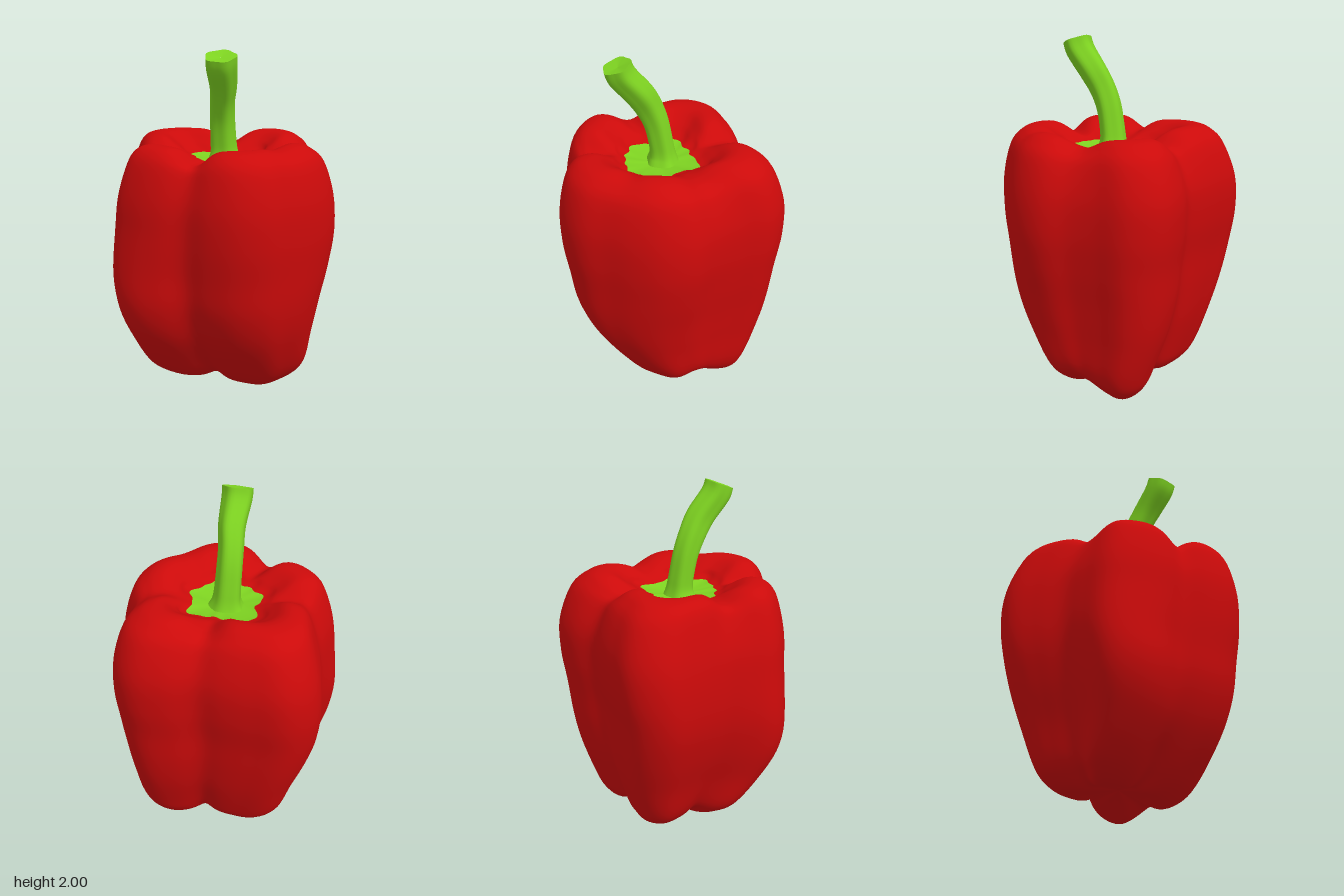
import * as THREE from 'three';

const N = 120; // points around the body
const STEP = 5; // rings per profile row

// Catmull-Rom value through a list of numbers at position t (in list steps)
function spline(list, t, closed) {
  const n = list.length, i = Math.floor(t), f = t - i;
  const at = (k) => list[closed ? ((k % n) + n) % n : Math.min(Math.max(k, 0), n - 1)];
  const a = at(i - 1), b = at(i), c = at(i + 1), d = at(i + 2);
  return b + 0.5 * f * (c - a + f * (2 * a - 5 * b + 4 * c - d + f * (3 * (b - c) + d - a)));
}

// Skin closed rings, listed from the top down
function loft(rings) {
  const n = rings[0].length, index = [];
  for (let i = 0; i < rings.length - 1; i++) {
    for (let j = 0; j < n; j++) {
      const a = i * n + j, b = i * n + (j + 1) % n;
      index.push(a, b, a + n, b, b + n, a + n);
    }
  }
  const geo = new THREE.BufferGeometry();
  geo.setAttribute('position', new THREE.Float32BufferAttribute(rings.flat(2), 3));
  geo.setIndex(index);
  geo.computeVertexNormals();
  return geo;
}

// Lobed outline: radius every 15 degrees, from +x towards +z
const outline = [0.635, 0.645, 0.63, 0.62, 0.65, 0.64, 0.59, 0.54, 0.58, 0.62, 0.64, 0.585,
  0.56, 0.62, 0.72, 0.725, 0.63, 0.57, 0.545, 0.63, 0.705, 0.695, 0.61, 0.59];

// Bell curve over an angle difference in degrees
const bell = (deg, at, width) => Math.exp(-(((((deg - at + 900) % 360) - 180) / width) ** 2));

// Grooves between lobes: angle, strength, width, turn towards the bottom
const grooves = [[104, 1, 13, 0], [172, 0.8, 13, 0], [270, 0.9, 14, 0], [343, 0.7, 16, 18], [36, 0.2, 11, 0]];
const grooveAt = (deg, low) =>
  grooves.reduce((sum, [at, s, w, turn]) => sum + s * bell(deg, at + turn * low, w), 0);

// Knobs under the lobes: angle, outward swell, drop
const knobs = [[42, 0.08, 0.04], [138, 0.2, 0], [318, 0.06, 0.07]];
const knobAt = (deg, k) => knobs.reduce((sum, knob) => sum + knob[k] * bell(deg, knob[0], 28), 0);

// Profile: y, min x, max x, min z, max z, groove pinch, groove lift, knob drop
const profile = [
  [1.36, 0.018, 0.022, 0.018, 0.022, 0, 0, 0],
  [1.385, -0.19, 0.22, -0.18, 0.23, 0, 0, 0],
  [1.435, -0.28, 0.29, -0.26, 0.3, 0, -0.03, 0],
  [1.485, -0.36, 0.36, -0.33, 0.38, 0, -0.08, 0],
  [1.495, -0.43, 0.42, -0.4, 0.45, 0.02, -0.09, 0],
  [1.47, -0.5, 0.49, -0.47, 0.52, 0.04, -0.07, 0],
  [1.39, -0.555, 0.565, -0.55, 0.58, 0.04, -0.03, 0],
  [1.2, -0.615, 0.62, -0.615, 0.62, 0.02, 0, 0],
  [1.0, -0.635, 0.63, -0.615, 0.615, 0.02, 0, 0],
  [0.8, -0.62, 0.6, -0.58, 0.58, 0.02, 0, 0],
  [0.6, -0.565, 0.555, -0.55, 0.54, 0.02, 0, 0],
  [0.4, -0.49, 0.52, -0.505, 0.45, 0.04, 0, 0],
  [0.2, -0.42, 0.49, -0.435, 0.3, 0.09, 0.01, 0.3],
  [0.115, -0.34, 0.42, -0.39, 0.21, 0.12, 0.02, 0.8],
  [0.07, -0.24, 0.3, -0.32, 0.11, 0.08, 0.03, 1],
  [0.085, -0.12, 0.16, -0.21, 0.03, 0, 0.02, 0.4],
  [0.11, 0.018, 0.022, -0.082, -0.078, 0, 0, 0],
];

function bodyRings() {
  const rings = [];
  for (let i = 0; i <= (profile.length - 1) * STEP; i++) {
    const [y, x0, x1, z0, z1, pinch, lift, drop] =
      profile[0].map((_, k) => spline(profile.map((row) => row[k]), i / STEP, false));
    const jag = Math.max(0, 1 - Math.abs(i - STEP) / STEP);
    const low = THREE.MathUtils.smoothstep(1.1 - y, 0, 0.7);
    const ring = [];
    for (let j = 0; j < N; j++) {
      const deg = (j / N) * 360, a = (deg * Math.PI) / 180, g = grooveAt(deg, low);
      // ragged edge where the green crown meets the flesh
      const ragged = 1 + jag * (0.05 * Math.sin(7 * a + 1) + 0.03 * Math.sin(13 * a));
      const r = spline(outline, deg / 15, true) * (1 - pinch * g) * (1 + low * knobAt(deg, 1)) * ragged;
      ring.push([
        (x0 + x1) / 2 + (r * Math.cos(a) * (x1 - x0)) / 1.26,
        y + lift * g - drop * knobAt(deg, 2),
        (z0 + z1) / 2 + (r * Math.sin(a) * (z1 - z0)) / 1.25,
      ]);
    }
    rings.push(ring);
  }
  return rings;
}

// Stem ring: centre x, y, z, half width, half depth, forward tilt
function stemRing([x, y, z, w, d, tilt]) {
  const ring = [];
  for (let j = 0; j < 30; j++) {
    const a = (j / 30) * Math.PI * 2, k = 1 + 0.06 * Math.cos(5 * a + 0.6);
    const dz = k * d * Math.sin(a);
    ring.push([x + k * w * Math.cos(a), y - tilt * dz, z + dz]);
  }
  return ring;
}

export function createModel() {
  const model = new THREE.Group();
  const red = new THREE.MeshStandardMaterial({ color: 0xcc0a0a });
  red.name = 'pepper red';
  const green = new THREE.MeshStandardMaterial({ color: 0x7ed321 });
  green.name = 'stem green';
  const add = (name, geo, mat) => {
    const mesh = new THREE.Mesh(geo, mat);
    mesh.name = name;
    model.add(mesh);
  };

  // Flesh with the green crown in the hollow on top
  const body = loft(bodyRings());
  const crown = STEP * N * 6;
  body.addGroup(0, crown, 0);
  body.addGroup(crown, body.index.count - crown, 1);
  add('body', body, [green, red]);

  // Curved stem, flared at the root and at the cut
  const tip = [0.02, 1.97, 0.25, 0.085, 0.072, 0.38];
  const stem = [
    tip,
    [0.018, 1.91, 0.225, 0.083, 0.07, 0.5],
    [0.015, 1.8, 0.135, 0.074, 0.07, 0.5],
    [0, 1.7, 0.075, 0.069, 0.067, 0.45],
    [-0.005, 1.6, 0.035, 0.07, 0.065, 0.35],
    [-0.003, 1.48, 0.01, 0.073, 0.066, 0.2],
    [0, 1.42, 0.002, 0.078, 0.07, 0.1],
    [0.003, 1.385, 0, 0.09, 0.08, 0],
    [0.005, 1.35, 0, 0.11, 0.095, 0],
  ];
  const smooth = [];
  for (let i = 0; i <= (stem.length - 1) * 4; i++) {
    smooth.push(stemRing(tip.map((_, k) => spline(stem.map((row) => row[k]), i / 4, false))));
  }
  add('stem', loft(smooth), green);

  // Slightly hollow cut end
  const hollow = [0.02, 1.96, 0.245, 0.002, 0.002, 0.38];
  add('stemCut', loft([stemRing(hollow), stemRing(tip)]), green);

  return model;
}
